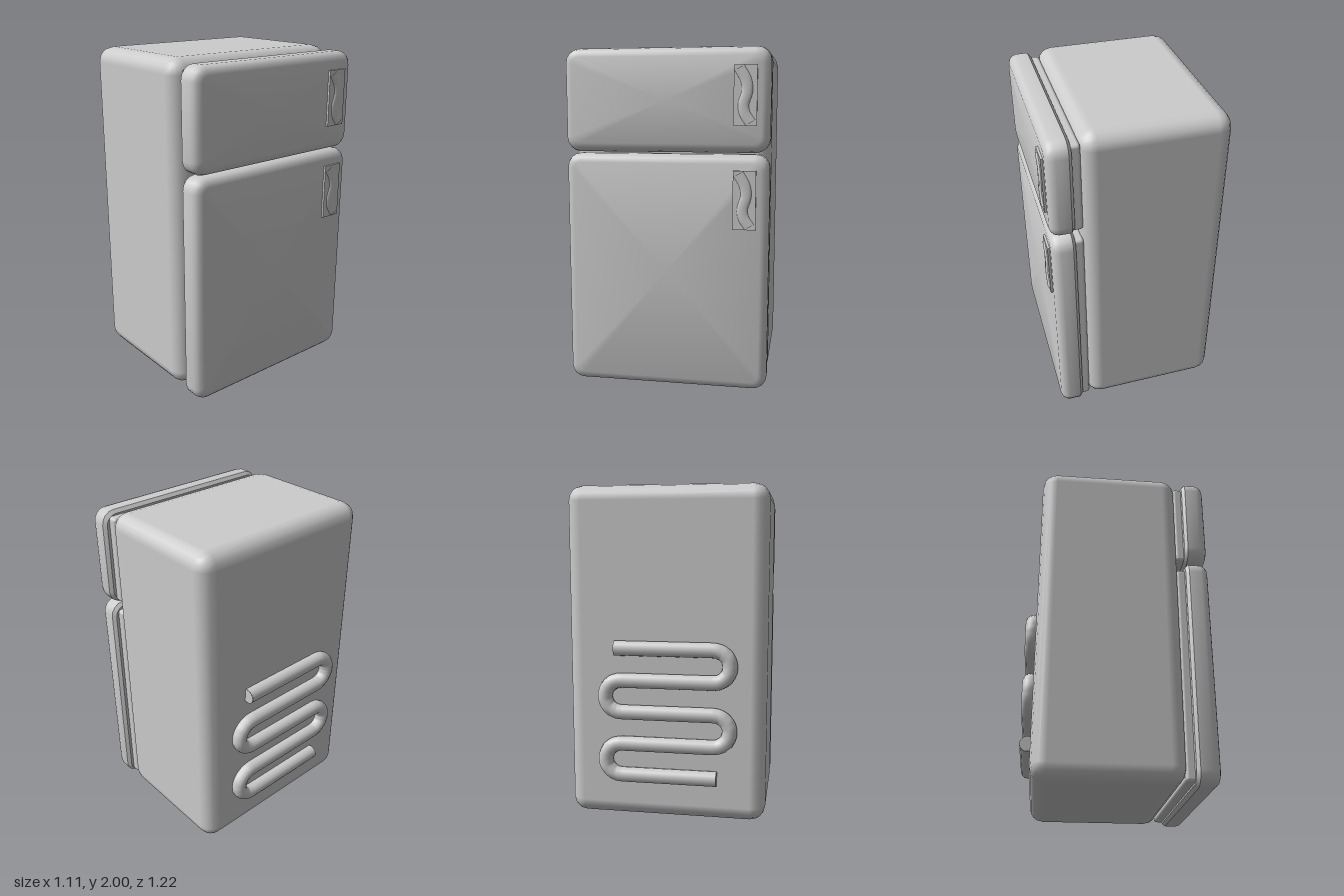
import * as THREE from 'three';
import { toCreasedNormals } from 'three/addons/utils/BufferGeometryUtils.js';
import { RoundedBoxGeometry } from 'three/addons/geometries/RoundedBoxGeometry.js';

// Door slab: rounded-rectangle loops stacked along x, softly bevelled at the front
function doorGeometry(height, depth) {
  const layers = [[0, 0.02], [0.018, 0], [0.088, 0], [0.113, 0.008], [0.13, 0.025], [0.138, 0.05]]; // x, inset
  const radius = 0.08, steps = 4, pos = [], index = [];
  const n = 4 * (steps + 1);
  for (const [x, inset] of layers) {
    const r = radius - inset * 0.8;
    for (let c = 0; c < 4; c++) {
      const sy = c === 0 || c === 3 ? 1 : -1, sz = c < 2 ? 1 : -1;
      for (let s = 0; s <= steps; s++) {
        const a = (c + s / steps) * Math.PI / 2;
        pos.push(x, sy * (height / 2 - inset - r) + r * Math.cos(a), sz * (depth / 2 - inset - r) + r * Math.sin(a));
      }
    }
  }
  const last = layers.length - 1, back = layers.length * n, front = back + 1;
  pos.push(layers[0][0], 0, 0, layers[last][0], 0, 0);
  for (let j = 0; j < n; j++) {
    const k = (j + 1) % n;
    for (let i = 0; i < last; i++) {
      const a = i * n + j, b = i * n + k;
      index.push(a, b, a + n, b, b + n, a + n);
    }
    index.push(back, k, j, front, last * n + j, last * n + k);
  }
  const g = new THREE.BufferGeometry();
  g.setAttribute('position', new THREE.Float32BufferAttribute(pos, 3));
  g.setIndex(index);
  return toCreasedNormals(g, 0.7);
}

// Serpentine centre line: straight rows joined by half turns
function coilPath() {
  const path = new THREE.CurvePath();
  const rows = 5, top = 1.05, gap = 0.192, r = gap / 2, zBack = -0.265, zFront = 0.29;
  const v = (y, z) => new THREE.Vector3(0, y, z);
  const points = [];
  for (let i = 0; i < rows; i++) {
    const y = top - i * gap, dir = i % 2 ? -1 : 1;
    const start = i === 0 ? -0.3 : dir > 0 ? zBack : zFront;
    const end = i === rows - 1 ? 0.31 : dir > 0 ? zFront : zBack;
    points.push(v(y, start));
    if (i === rows - 1) { points.push(v(y, end)); break; }
    for (let s = 0; s <= 10; s++) {
      const a = s / 10 * Math.PI;
      points.push(v(y - r + r * Math.cos(a), end + dir * r * Math.sin(a)));
    }
  }
  for (let i = 1; i < points.length; i++) path.add(new THREE.LineCurve3(points[i - 1], points[i]));
  return { path, points };
}

export function createModel() {
  const model = new THREE.Group();
  model.name = 'refrigerator';
  const enamel = new THREE.MeshStandardMaterial({ color: 0xcccccc });
  enamel.name = 'light grey enamel';

  const add = (name, geometry, x, y, z, parent = model) => {
    const mesh = new THREE.Mesh(geometry, enamel);
    mesh.name = name;
    mesh.position.set(x, y, z);
    parent.add(mesh);
    return mesh;
  };

  // Cabinet
  add('cabinet', new RoundedBoxGeometry(0.84, 1.99, 1.19, 2, 0.09), -0.065, 1.005, 0);

  // Doors with their gaskets
  const doors = [
    { name: 'freezerDoor', y0: 1.39, y1: 1.98, g0: 1.41, g1: 1.95, handleY: 1.71 },
    { name: 'mainDoor', y0: 0, y1: 1.38, g0: 0.03, g1: 1.34, handleY: 1.125 },
  ];
  const wave = [[0.15, 0.034], [0.082, -0.003], [0.024, -0.01], [-0.05, 0.01], [-0.098, 0.003], [-0.15, -0.03]];
  const waveCurve = new THREE.CatmullRomCurve3(wave.map(([y, z]) => new THREE.Vector3(0, y, z)));
  for (const d of doors) {
    add(d.name, doorGeometry(d.y1 - d.y0, 1.19), 0.397, (d.y0 + d.y1) / 2, -0.004);
    add(d.name + 'Gasket', new RoundedBoxGeometry(0.07, d.g1 - d.g0, 1.1, 2, 0.02), 0.38, (d.g0 + d.g1) / 2, -0.012);

    // Handle: thin plate with a low wavy grip
    const handle = new THREE.Group();
    handle.name = d.name + 'Handle';
    handle.position.set(0.54, d.handleY, -0.46);
    add('handlePlate', new THREE.BoxGeometry(0.016, 0.335, 0.13), 0, 0, 0, handle);
    const grip = add('wavyGrip', new THREE.TubeGeometry(waveCurve, 30, 0.032, 12), 0.006, 0, 0, handle);
    grip.scale.x = 0.35;
    model.add(handle);
  }

  // Condenser coil half sunk into the rear panel, with flat end caps
  const { path, points } = coilPath();
  const coil = new THREE.Group();
  coil.name = 'condenserCoil';
  coil.position.x = -0.505;
  add('coilTube', new THREE.TubeGeometry(path, 220, 0.045, 14), 0, 0, 0, coil);
  [[points[0], Math.PI], [points[points.length - 1], 0]].forEach(([p, turn]) => {
    add('coilEnd', new THREE.CircleGeometry(0.045, 14), p.x, p.y, p.z, coil).rotation.y = turn;
  });
  model.add(coil);

  // The whole appliance stands very slightly turned
  model.rotation.y = 0.025;
  return model;
}
